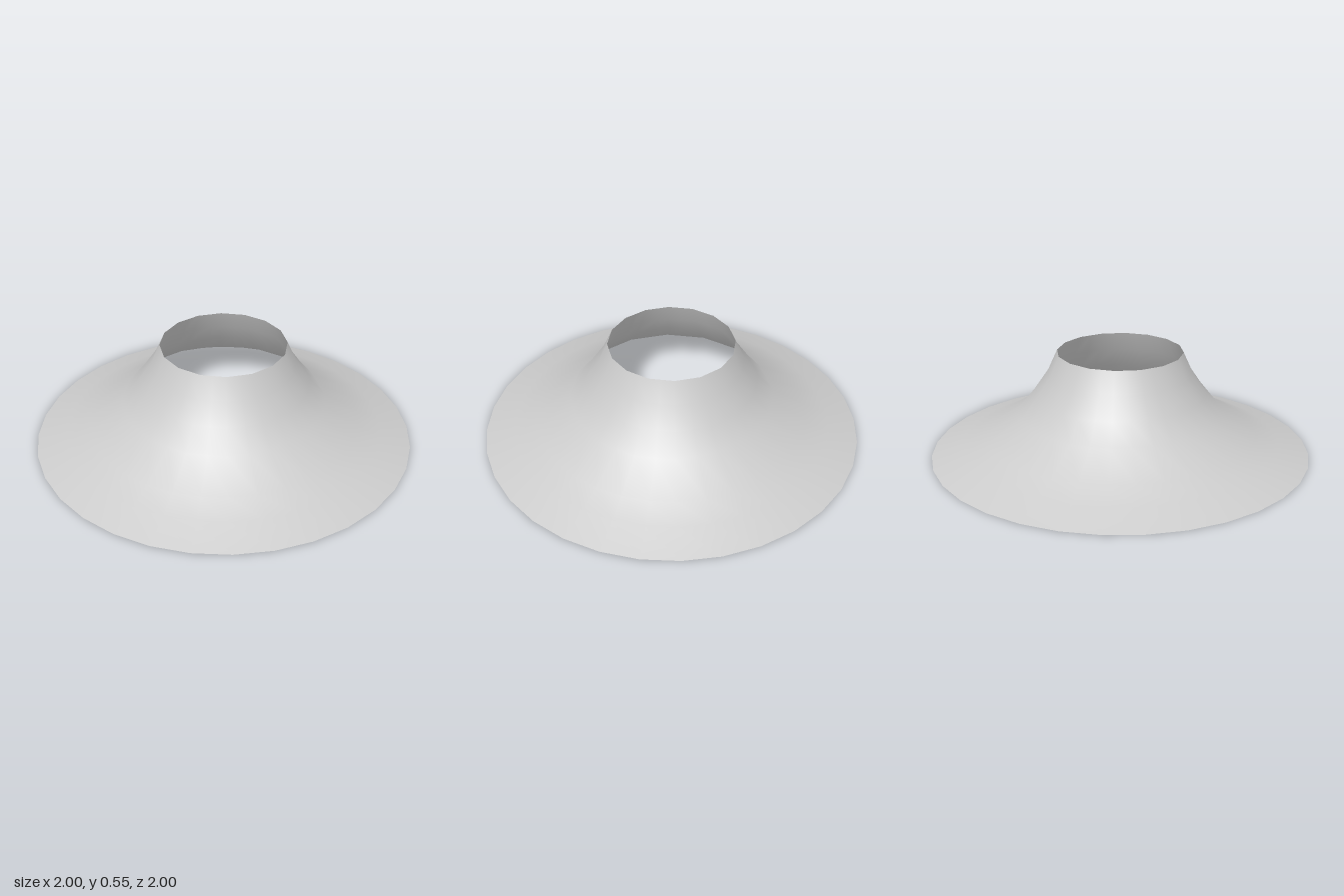
import * as THREE from 'three';

// Flared profile [radius, height] from the wide rim up to the collar opening
const PROFILE = [
  [1, 0], [0.84, 0.055], [0.72, 0.11], [0.54, 0.22],
  [0.455, 0.325], [0.38, 0.435], [0.33, 0.545],
];
const SIDES = 32;
const COARSE_FROM = 3; // rings from here upward have half as many sides

export function createModel() {
  const points = PROFILE.map(([r, y]) => new THREE.Vector2(r, y));
  const geometry = new THREE.LatheGeometry(points, SIDES);

  // Pull every second vertex of the upper rings onto the chord of its neighbours
  const pos = geometry.attributes.position;
  const chord = Math.cos((2 * Math.PI) / SIDES);
  for (let i = 1; i < SIDES; i += 2) {
    for (let j = COARSE_FROM; j < PROFILE.length; j++) {
      const v = i * PROFILE.length + j;
      pos.setX(v, pos.getX(v) * chord);
      pos.setZ(v, pos.getZ(v) * chord);
    }
  }

  // Thin open shell, smooth shaded
  const material = new THREE.MeshStandardMaterial({ color: 0xcccccc, side: THREE.DoubleSide });
  const shell = new THREE.Mesh(geometry, material);
  shell.name = 'flaredShell';

  const group = new THREE.Group();
  group.name = 'flaredCollar';
  group.add(shell);
  return group;
}
